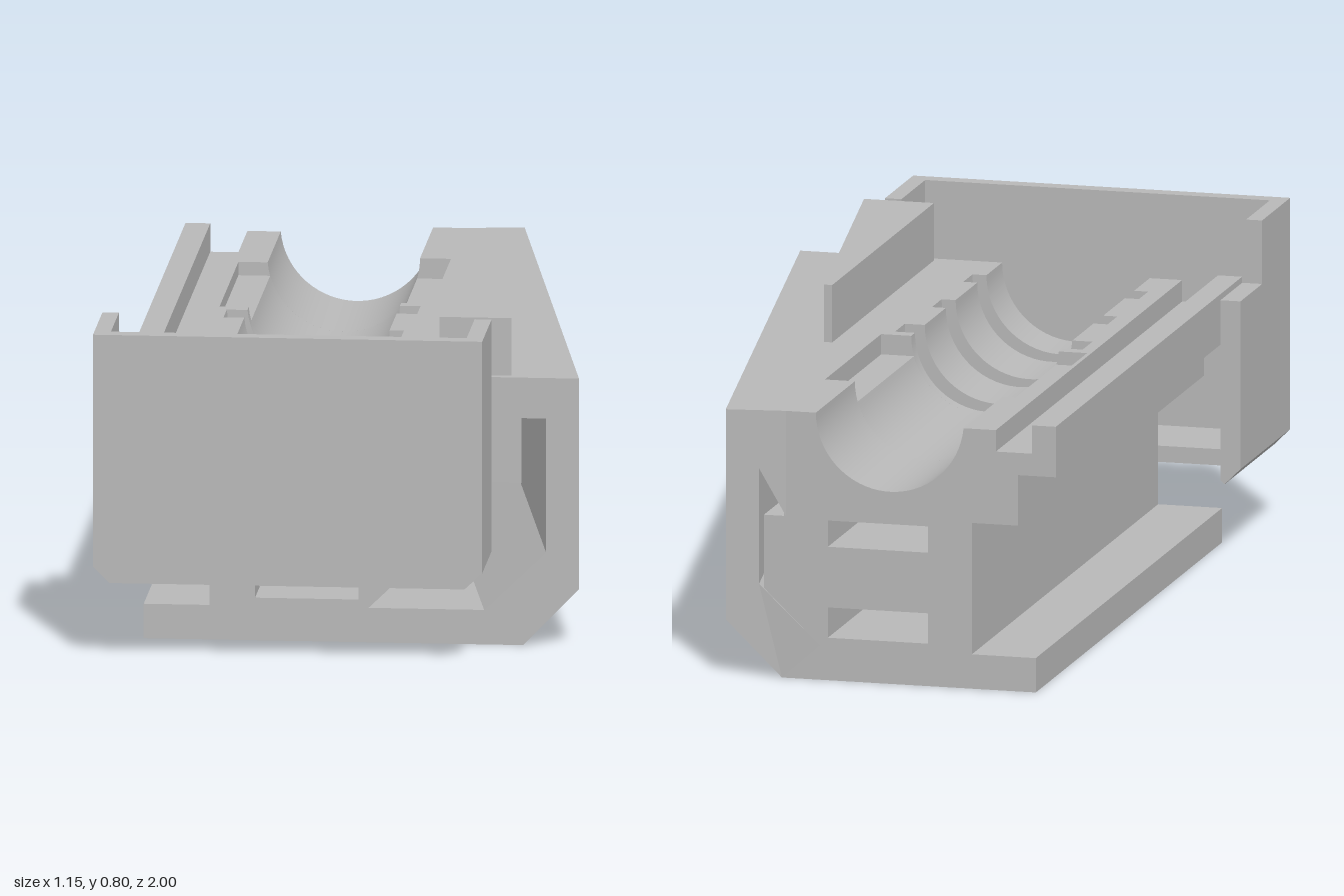
import * as THREE from 'three';
import { toCreasedNormals } from 'three/addons/utils/BufferGeometryUtils.js';

const gray = new THREE.MeshStandardMaterial({ color: 0xb8b8b8 });
gray.name = 'plain gray';

const Z0 = -0.98, Z1 = 0.74;          // back and front of the body
const CX = -0.115, CY = 0.66, R = 0.185; // trough axis and radius

const toShape = (pts) => new THREE.Shape(pts.map(([x, y]) => new THREE.Vector2(x, y)));

// Extrudes an x-y outline from z0 to z1
function prism(pts, z0, z1, holes = []) {
  const shape = toShape(pts);
  holes.forEach((h) => shape.holes.push(toShape(h)));
  const g = new THREE.ExtrudeGeometry(shape, { depth: z1 - z0, bevelEnabled: false });
  return g.translate(0, 0, z0);
}

function mesh(name, geometry) {
  const m = new THREE.Mesh(geometry, gray);
  m.name = name;
  return m;
}

const rect = (x0, x1, y0, y1) => [[x0, y0], [x1, y0], [x1, y1], [x0, y1]];

// Core outline with trough of radius r; pocket lowers both rims
function corePoints(r, pocket) {
  const yR = pocket ? 0.61 : 0.66, yL = pocket ? 0.61 : 0.643;
  const a0 = -Math.asin((CY - yR) / r), a1 = -Math.PI + Math.asin((CY - yL) / r);
  const arc = [];
  for (let i = 0; i <= 32; i++) {
    const a = a0 + (a1 - a0) * i / 32;
    arc.push([CX + r * Math.cos(a), CY + r * Math.sin(a)]);
  }
  return [
    [-0.32, 0.085], [0.065, 0.085], [0.2, 0.215], [0.2, 0.4], [0.145, 0.4], [0.145, yR],
    ...arc,
    ...(pocket ? [[-0.37, 0.61], [-0.37, 0.643]] : []),
    [-0.38, 0.643], [-0.38, 0.59], [-0.47, 0.59], [-0.47, 0.66], [-0.53, 0.66],
    [-0.53, 0.535], [-0.435, 0.535], [-0.435, 0.41], [-0.32, 0.41],
  ];
}

// Base plate and hooked side wall, flaring outward toward the front
function flaredShell() {
  const g = prism([
    [-0.48, 0], [0.44, 0], [0.575, 0.14], [0.575, 0.66], [0.145, 0.66], [0.145, 0.4],
    [0.435, 0.4], [0.435, 0.56], [0.495, 0.56], [0.495, 0.23], [0.345, 0.085], [-0.48, 0.085],
  ], Z0, Z1);
  const p = g.attributes.position;
  for (let i = 0; i < p.count; i++) {
    const t = (Z1 - p.getZ(i)) / (Z1 - Z0);
    if (p.getX(i) > 0.2) p.setX(i, p.getX(i) - 0.285 * t);
    const slant = THREE.MathUtils.clamp((p.getX(i) - 0.155) / 0.135, 0, 1);
    if (t > 0.5) p.setZ(i, p.getZ(i) - 0.02 * slant);
  }
  g.computeVertexNormals();
  return g;
}

export function createModel() {
  const model = new THREE.Group();
  model.name = 'slottedCradle';

  // Core in slices: plain trough, rim pockets and ring grooves
  const core = new THREE.Group();
  core.name = 'troughCore';
  const slices = [
    [Z0, R], [-0.62, R, true], [-0.1, R], [-0.065, 0.235], [0.025, R],
    [0.22, 0.22], [0.31, R], [0.51, 0.22], [0.595, R],
  ];
  const slots = [rect(-0.21, 0.04, 0.105, 0.18), rect(-0.21, 0.04, 0.33, 0.395)];
  slices.forEach(([z, r, pocket], i) => {
    const end = i + 1 < slices.length ? slices[i + 1][0] : Z1;
    core.add(mesh('coreSlice', toCreasedNormals(prism(corePoints(r, pocket), z, end, slots), 0.5)));
  });
  model.add(core);

  model.add(mesh('flaredShell', flaredShell()));

  // Tapered fin on the top of the flared side
  const fin = new THREE.ExtrudeGeometry(
    toShape([[0.235, -0.72], [0.41, -0.72], [0.255, 0.22], [0.235, 0.22]]),
    { depth: 0.16, bevelEnabled: false });
  model.add(mesh('taperedFin', fin.rotateX(-Math.PI / 2).translate(0, 0.642, 0)));

  // Open-topped front tray
  const tray = new THREE.Group();
  tray.name = 'frontTray';
  const outer = [[-0.58, 0.802], [-0.58, 0.23], [-0.54, 0.19], [0.32, 0.19], [0.363, 0.23], [0.363, 0.802]];
  const inner = [[0.322, 0.802], [0.322, 0.23], [-0.54, 0.23], [-0.54, 0.802]];
  tray.add(mesh('trayFrontPanel', prism(outer, 0.96, 1)));
  tray.add(mesh('traySides', prism([...outer, ...inner], Z1, 0.96)));
  tray.add(mesh('traySideTab', prism(
    [[-0.58, 0.23], [-0.54, 0.19], [-0.53, 0.2], [-0.53, 0.645], [-0.58, 0.645]], 0.54, Z1)));
  model.add(tray);

  return model;
}
